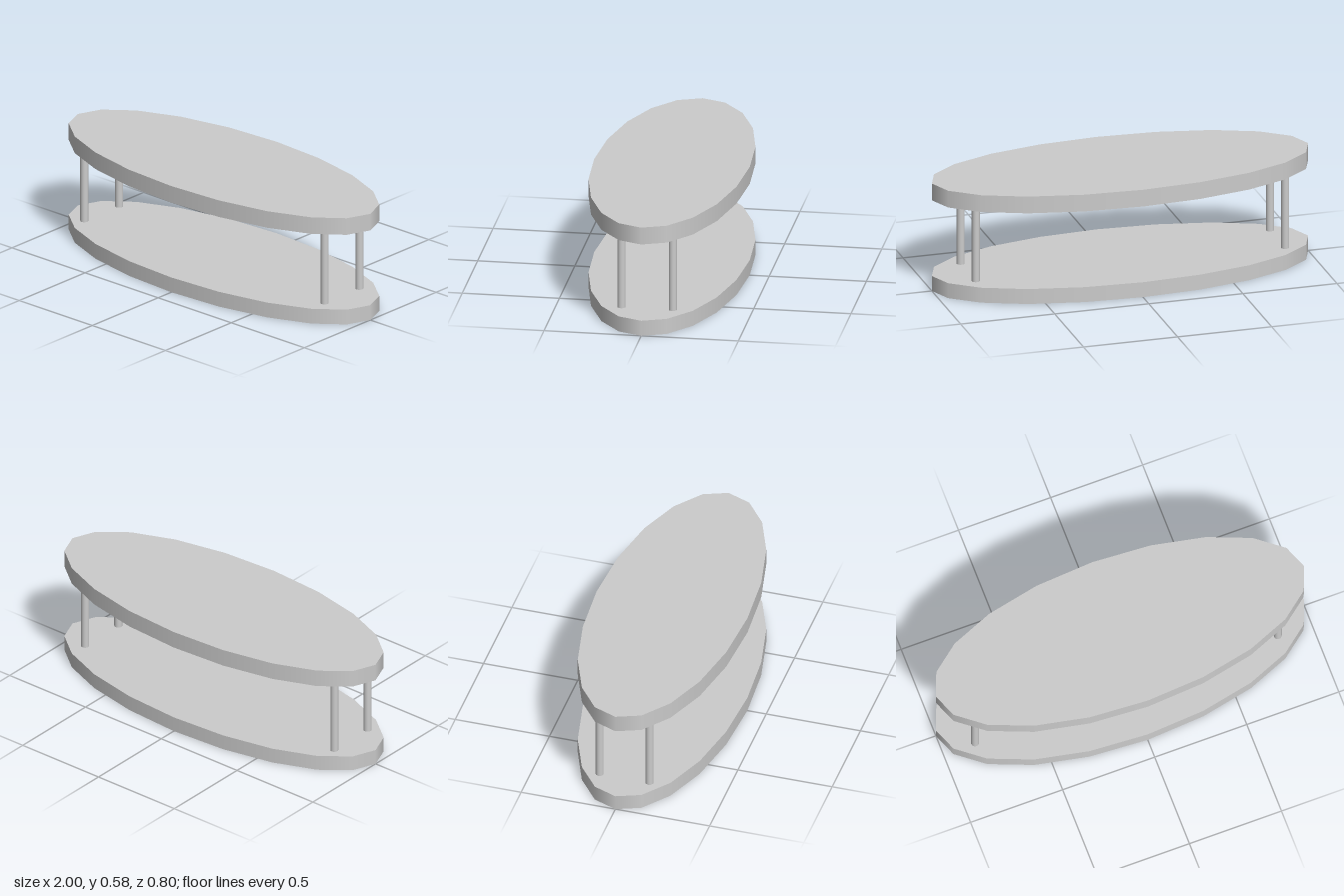
import * as THREE from 'three';

export function createModel() {
  const group = new THREE.Group();
  const material = new THREE.MeshStandardMaterial({ color: 0xcccccc });

  // Upright cylinder between two heights, stretched to an ellipse if rx != rz
  function column(name, rx, rz, y0, y1, x = 0, z = 0) {
    const geometry = new THREE.CylinderGeometry(1, 1, y1 - y0, 20);
    geometry.scale(rx, 1, rz);
    const mesh = new THREE.Mesh(geometry, material);
    mesh.name = name;
    mesh.position.set(x, (y0 + y1) / 2, z);
    group.add(mesh);
  }

  // Oval boards
  column('lowerShelf', 1, 0.4, 0, 0.081);
  column('tableTop', 1, 0.4, 0.492, 0.583);

  // Four posts, the pairs set slightly off centre in x
  for (const [side, x] of [['Left', 0.807], ['Right', -0.837]]) {
    for (const [end, z] of [['front', 0.132], ['back', -0.132]]) {
      column(`${end}${side}Post`, 0.0205, 0.0205, 0.081, 0.492, x, z);
    }
  }

  return group;
}
